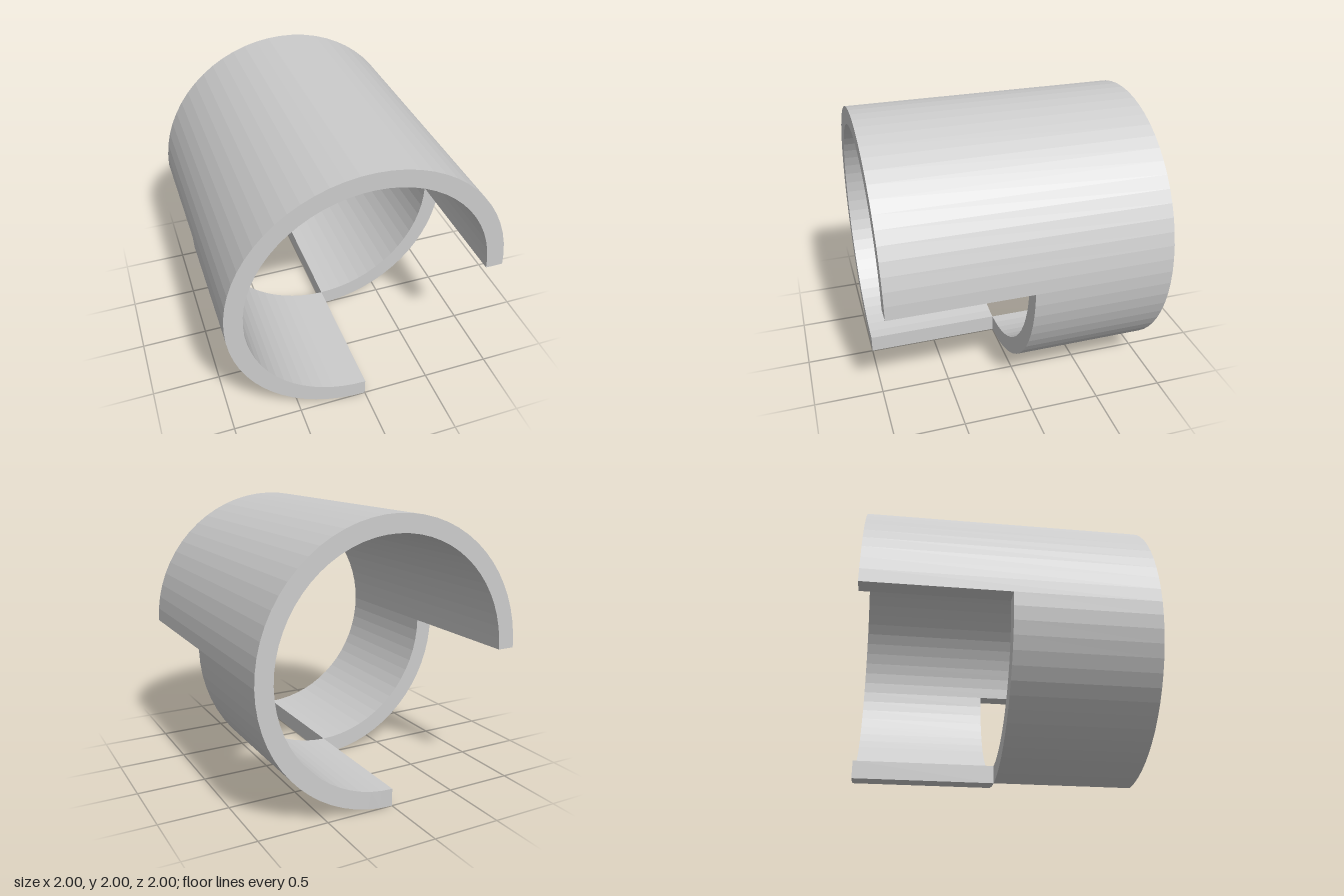
import * as THREE from 'three';

const OUTER = 1, INNER = 0.873, SEGMENTS = 64;

export function createModel() {
  const positions = [];
  const p = (r, a, z) => [r * Math.cos(a), 1 + r * Math.sin(a), z];
  const quad = (a, b, c, d) => positions.push(...a, ...b, ...c, ...a, ...c, ...d);

  // Curved wall over an angle range (in quarter turns), with its two ring-shaped ends
  function wall(q0, q1, z0, z1) {
    const step = (2 * Math.PI) / SEGMENTS;
    for (let i = q0 * SEGMENTS / 4; i < q1 * SEGMENTS / 4; i++) {
      const a = i * step, b = a + step;
      quad(p(OUTER, a, z0), p(OUTER, b, z0), p(OUTER, b, z1), p(OUTER, a, z1));
      quad(p(INNER, a, z1), p(INNER, b, z1), p(INNER, b, z0), p(INNER, a, z0));
      quad(p(INNER, a, z1), p(OUTER, a, z1), p(OUTER, b, z1), p(INNER, b, z1));
      quad(p(INNER, b, z0), p(OUTER, b, z0), p(OUTER, a, z0), p(INNER, a, z0));
    }
  }

  // Straight cut through the wall; atStart means the wall lies at larger angles
  function cut(q, z0, z1, atStart) {
    const a = q * Math.PI / 2;
    const c = [p(INNER, a, z0), p(OUTER, a, z0), p(OUTER, a, z1), p(INNER, a, z1)];
    quad(...(atStart ? c : c.reverse()));
  }

  // Full-length upper half
  wall(0, 2, -1, 1);
  cut(0, 0, 1, true);
  cut(2, -1, 0, false);

  // Front lower quarter on the right
  wall(2, 3, 0, 1);
  cut(3, 0, 1, false);

  // Back lower quarter on the left
  wall(3, 4, -1, 0);
  cut(3, -1, 0, true);

  const geometry = new THREE.BufferGeometry();
  geometry.setAttribute('position', new THREE.Float32BufferAttribute(positions, 3));
  geometry.computeVertexNormals();

  const sleeve = new THREE.Mesh(
    geometry,
    new THREE.MeshStandardMaterial({ color: 0xcccccc, flatShading: true })
  );
  sleeve.name = 'notchedSleeve';

  const group = new THREE.Group();
  group.name = 'notchedTube';
  group.add(sleeve);
  return group;
}
